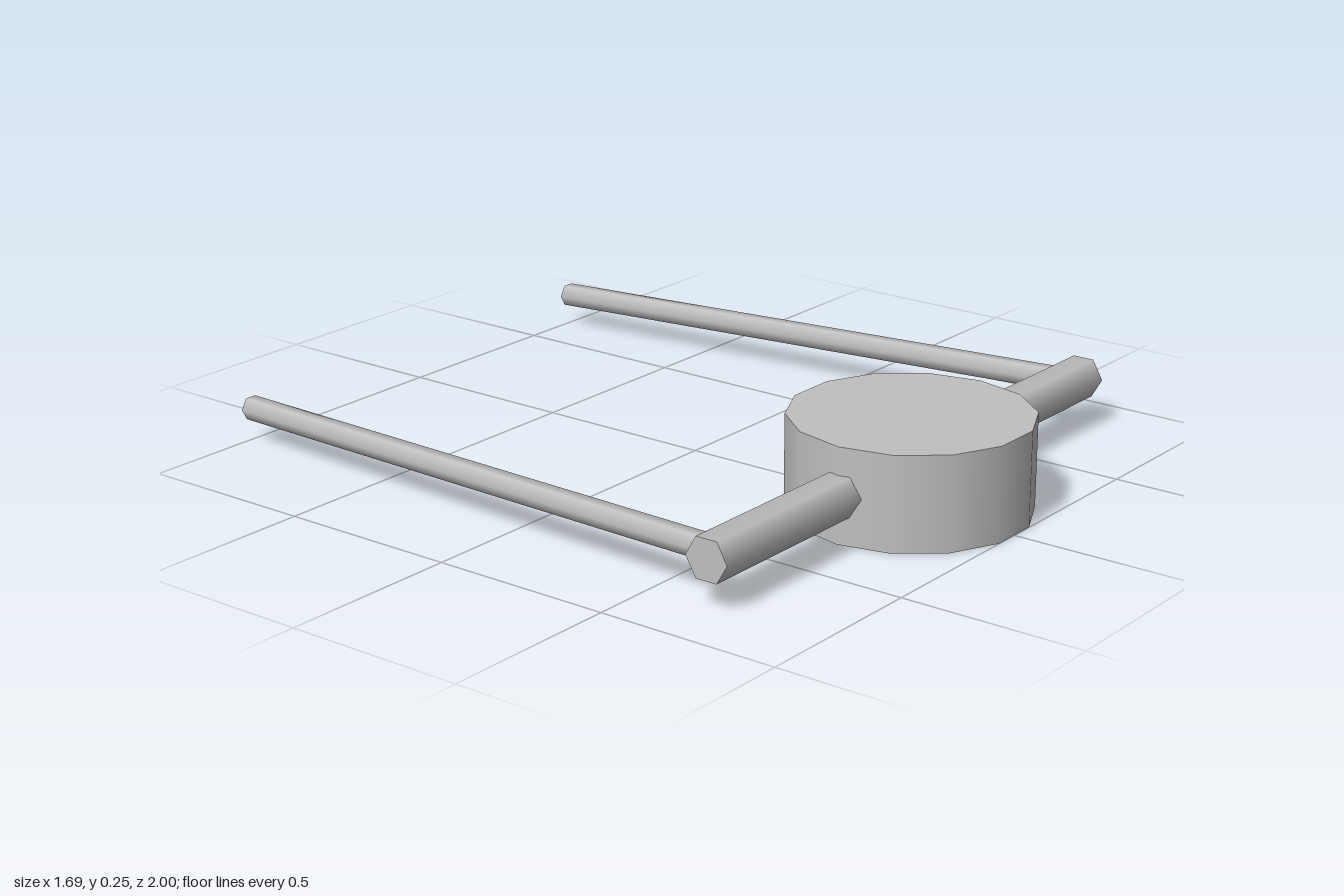
import * as THREE from 'three';

export function createModel() {
  const model = new THREE.Group();
  const grey = new THREE.MeshStandardMaterial({ color: 0xbfbfbf });
  grey.name = 'grey';
  const greyOpen = grey; // one colour for every part
  greyOpen.side = THREE.DoubleSide; // the legs are open tubes

  const add = (name, geometry) => {
    const mesh = new THREE.Mesh(geometry, grey);
    mesh.name = name;
    model.add(mesh);
    return mesh;
  };

  const hubZ = 0.688;
  const barY = 0.128;

  // Fourteen-sided drum with a corner on each side
  add('drum', new THREE.CylinderGeometry(0.319, 0.319, 0.255, 14, 1, false, Math.PI / 2))
    .position.set(0, 0.1275, hubZ);

  // Hexagonal bar through the drum, flat on top
  add('crossbar', new THREE.CylinderGeometry(0.061, 0.061, 1.69, 6).rotateZ(Math.PI / 2))
    .position.set(0, barY, hubZ);

  // Open hexagonal tubes, sheared so that both ends lie square to z
  for (const [name, side] of [['leftLeg', 1], ['rightLeg', -1]]) {
    const start = new THREE.Vector3(side * 0.784, 0.13, hubZ);
    const end = new THREE.Vector3(side * 0.661, 0.091, -1);
    const shear = new THREE.Matrix4()
      .makeBasis(
        new THREE.Vector3(1, 0, 0),
        end.clone().sub(start),
        new THREE.Vector3(0, 1, 0))
      .setPosition(start.clone().add(end).multiplyScalar(0.5));
    add(name, new THREE.CylinderGeometry(0.034, 0.034, 1, 6, 1, true, Math.PI / 2).applyMatrix4(shear));
  }

  return model;
}
